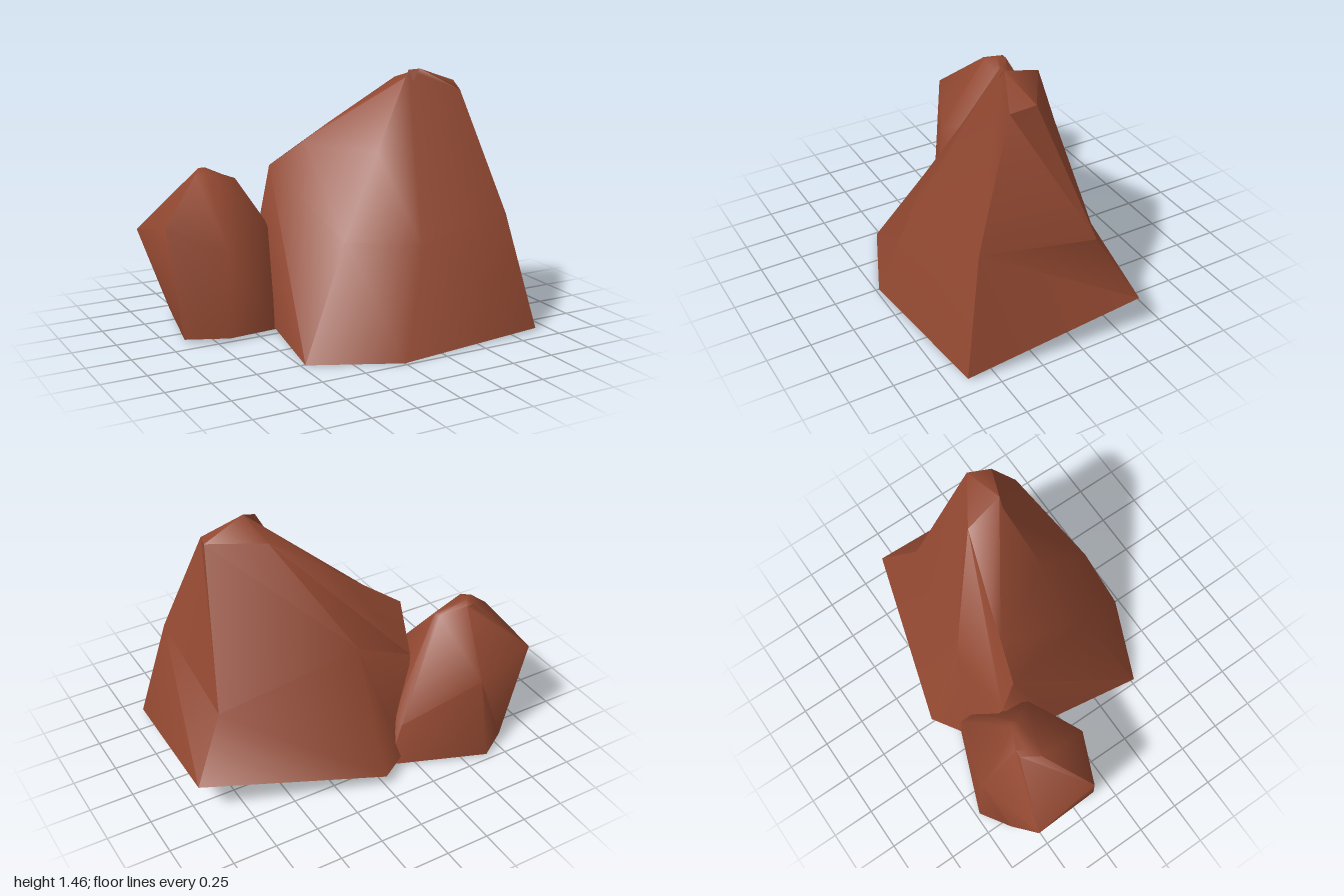
import * as THREE from 'three';
import { toCreasedNormals } from 'three/addons/utils/BufferGeometryUtils.js';

// Skin a stack of equal-length rings, open underneath and closed by a fan on top.
// The lower wall panel numbered gap is left out, where another rock pokes in.
function loftRock(rings, top, gap = -1) {
  const n = rings[0].length;
  const positions = [];
  const tri = (a, b, c) => positions.push(...a, ...b, ...c);
  for (let i = 0; i < n; i++) {
    const j = (i + 1) % n;
    for (let r = 0; r < rings.length - 1; r++) {
      const low = rings[r], high = rings[r + 1];
      if (r > 0 || i !== gap) tri(low[i], low[j], high[i]);
      tri(low[j], high[j], high[i]);
    }
    const last = rings[rings.length - 1];
    tri(last[i], last[j], top);
  }
  const geometry = new THREE.BufferGeometry();
  geometry.setAttribute('position', new THREE.Float32BufferAttribute(positions, 3));
  return geometry;
}

export function createModel() {
  const group = new THREE.Group();
  group.name = 'rockFormation';
  // The rocks are hollow shells, so both sides show
  const redStone = new THREE.MeshStandardMaterial({ color: 0x924831, side: THREE.DoubleSide });
  redStone.name = 'redStone';

  const addRock = (name, geometry) => {
    const mesh = new THREE.Mesh(toCreasedNormals(geometry, 1.05), redStone);
    mesh.name = name;
    group.add(mesh);
  };

  // Tall peak: rings run left-front, front, right-front, right-back, back, left-back, left
  addRock('tallPeak', loftRock([
    [ // foot
      [-0.48, 0.005, 0.52], [0, 0, 0.73], [0.91, 0.015, 0.65], [1, 0.21, -0.35],
      [0, 0.07, -0.65], [-0.2, 0.06, -0.52], [-0.4, 0.03, -0.03],
    ],
    [ // shoulder
      [-0.15, 0.58, 0.34], [0.18, 0.59, 0.59], [0.78, 0.67, 0.51], [0.79, 0.52, -0.2],
      [0.04, 0.8, -0.4], [-0.33, 0.6, -0.35], [-0.31, 0.91, -0.26],
    ],
    [ // crest
      [0.11, 1.02, 0.23], [0.36, 1.455, 0.14], [0.63, 1.34, 0.25], [0.67, 1.375, 0.12],
      [0.39, 1.39, -0.06], [0.02, 1.14, -0.17], [-0.12, 1.04, -0.21],
    ],
  ], [0.42, 1.46, 0.16], 5));

  // Small boulder: rings run left-front, front, right-front, right, right-back, back, left-back
  addRock('smallBoulder', loftRock([
    [ // foot
      [-0.91, 0.02, -0.1], [-0.68, 0.02, 0], [-0.39, 0.02, -0.02], [-0.04, 0.01, -0.45],
      [-0.1, 0.015, -0.52], [-0.63, 0.02, -0.73], [-0.8, 0.02, -0.62],
    ],
    [ // waist
      [-0.97, 0.64, -0.18], [-0.66, 0.5, -0.03], [-0.37, 0.61, -0.2], [-0.17, 0.3, -0.45],
      [-0.17, 0.28, -0.53], [-0.6, 0.51, -0.67], [-1, 0.55, -0.57],
    ],
    [ // crown
      [-0.72, 0.875, -0.36], [-0.66, 0.89, -0.34], [-0.48, 0.83, -0.35], [-0.475, 0.83, -0.37],
      [-0.49, 0.83, -0.39], [-0.62, 0.89, -0.46], [-0.66, 0.89, -0.46],
    ],
  ], [-0.65, 0.897, -0.41]));

  return group;
}
